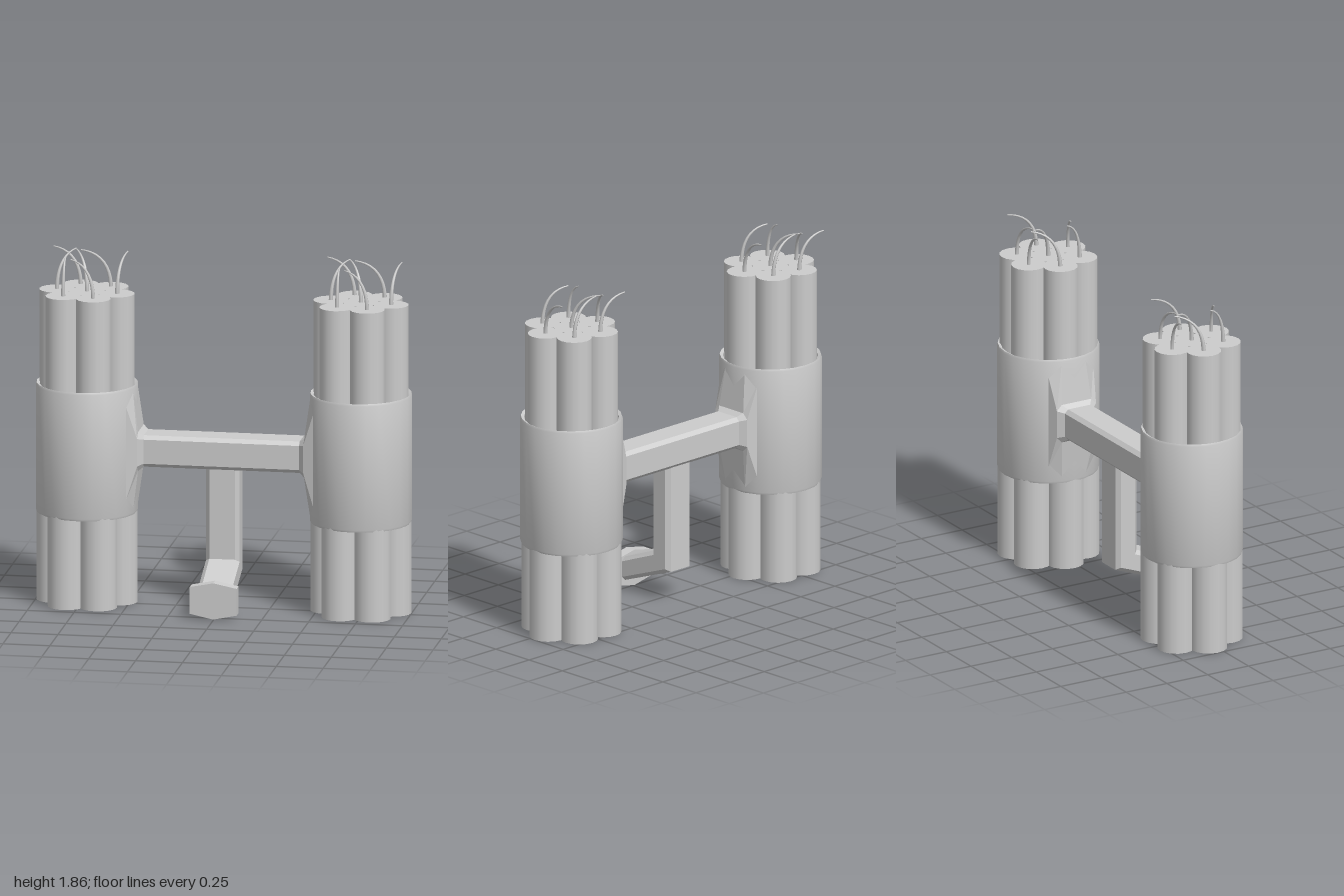
import * as THREE from 'three';
import { toCreasedNormals } from 'three/addons/utils/BufferGeometryUtils.js';

const V = (x, y, z) => new THREE.Vector3(x, y, z);
const material = new THREE.MeshStandardMaterial({ color: 0xcccccc });
const flat = new THREE.MeshStandardMaterial({ color: 0xcccccc, flatShading: true });

const CZ = -0.035;      // depth of the bundles and the bar
const BUNDLE_X = 0.73;
const SLEEVE_R = 0.27;

function add(parent, name, geometry, mat = material) {
  const mesh = new THREE.Mesh(geometry, mat);
  mesh.name = name;
  parent.add(mesh);
  return mesh;
}

// Chamfered rectangle outline, counterclockwise in (u, v)
function octagon(hu, hv, c) {
  return [[hu, -hv + c], [hu, hv - c], [hu - c, hv], [-hu + c, hv],
    [-hu, hv - c], [-hu, -hv + c], [-hu + c, -hv], [hu - c, -hv]];
}

// Skin a row of equal-length rings
function loft(rings) {
  const pos = [];
  const n = rings[0].length;
  for (let r = 0; r < rings.length - 1; r++) {
    for (let i = 0; i < n; i++) {
      const j = (i + 1) % n;
      const [a, b, c, d] = [rings[r][i], rings[r][j], rings[r + 1][j], rings[r + 1][i]];
      for (const p of [a, b, c, a, c, d]) pos.push(p.x, p.y, p.z);
    }
  }
  const g = new THREE.BufferGeometry();
  g.setAttribute('position', new THREE.Float32BufferAttribute(pos, 3));
  g.computeVertexNormals();
  return g;
}

// Thin fuse that rises, bends over and tapers to its tip
function fuseGeometry(x, z, dx, dz) {
  const curve = new THREE.CubicBezierCurve3(V(x, 1.66, z), V(x, 1.78, z),
    V(x + dx * 0.35, 1.85, z + dz * 0.35), V(x + dx, 1.86, z + dz));
  const segs = 10, sides = 6;
  const g = new THREE.TubeGeometry(curve, segs, 0.012, sides);
  const p = g.attributes.position;
  const v = V(0, 0, 0);
  for (let i = 0; i <= segs; i++) {
    const mid = curve.getPointAt(i / segs);
    for (let k = 0; k <= sides; k++) {
      const id = i * (sides + 1) + k;
      v.fromBufferAttribute(p, id).lerp(mid, 0.7 * i / segs);
      p.setXYZ(id, v.x, v.y, v.z);
    }
  }
  return g;
}

// Six positions round a circle plus the centre
function ringSpots(radius, startDeg) {
  const spots = [];
  for (let k = 0; k < 6; k++) {
    const a = THREE.MathUtils.degToRad(startDeg + 60 * k);
    spots.push([radius * Math.cos(a), radius * Math.sin(a)]);
  }
  spots.push([0, 0]);
  return spots;
}

function sticks(parent, name, spots, r, y0, y1) {
  for (const [x, z] of spots) {
    add(parent, name, new THREE.CylinderGeometry(r, r, y1 - y0, 16)).position.set(x, (y0 + y1) / 2, z);
  }
}

function createBundle() {
  const bundle = new THREE.Group();

  // Upper sticks are turned slightly against the lower ones
  const upper = ringSpots(0.167, 9);
  sticks(bundle, 'upperStick', upper, 0.093, 0.5, 1.67);
  sticks(bundle, 'lowerStick', ringSpots(0.17, 0), 0.099, 0, 0.52);

  // Wrapped sleeve with a thin open rim
  const profile = [[0.25, 0.495], [0.266, 0.488], [SLEEVE_R, 0.5], [SLEEVE_R, 1.17],
    [0.266, 1.182], [0.25, 1.175], [0.25, 0.495]].map(([x, y]) => new THREE.Vector2(x, y));
  add(bundle, 'sleeve', toCreasedNormals(new THREE.LatheGeometry(profile, 24), 0.5));

  // One fuse per stick, each leaning its own way
  const leans = [[0.03, -0.16], [-0.13, -0.06], [0, -0.08], [0.08, -0.13],
    [-0.15, -0.03], [-0.16, 0], [-0.08, -0.14]];
  upper.forEach(([x, z], i) => add(bundle, 'fuse', fuseGeometry(x, z, ...leans[i])));
  return bundle;
}

// Bar with a collar and a tall wedge spreading over each sleeve
function barGeometry() {
  const BAR_Y = 0.835;
  const half = [
    { hy: 0.34, hz: 0.14, c: 0.07 },
    { x: 0.443, hy: 0.105, hz: 0.12, c: 0.03 },
    { x: 0.415, hy: 0.085, hz: 0.088, c: 0.02 },
  ];
  const ring = ({ x, hy, hz, c }, side) => octagon(hy, hz, c).map(([y, z]) => {
    const px = x ?? BUNDLE_X - Math.sqrt(0.265 ** 2 - z * z);
    return V(side * px, BAR_Y + y, CZ + z);
  });
  return loft([...half.map(s => ring(s, -1)), ...half.slice().reverse().map(s => ring(s, 1))]);
}

// Post hanging from the bar and bending forward to the foot
function postGeometry() {
  const stations = [
    { y: 0.78, z: -0.04, vy: 0, vz: 1 },
    { y: 0.22, z: -0.04, vy: 0.68, vz: 1 },
    { y: 0.11, z: 0.25, vy: 1, vz: 0 },
  ];
  return loft(stations.map(({ y, z, vy, vz }) =>
    octagon(0.09, 0.065, 0.022).map(([u, v]) => V(u, y + v * vy, z + v * vz))));
}

export function createModel() {
  const model = new THREE.Group();
  model.name = 'twinBundles';

  for (const [name, x] of [['leftBundle', BUNDLE_X], ['rightBundle', -BUNDLE_X]]) {
    const bundle = createBundle();
    bundle.name = name;
    bundle.position.set(x, 0, CZ);
    model.add(bundle);
  }

  add(model, 'bar', barGeometry(), flat);
  add(model, 'post', postGeometry(), flat);

  // Six-sided foot plate
  const outline = new THREE.Shape([[-0.125, 0.03], [0, 0.004], [0.125, 0.03],
    [0.125, 0.175], [0, 0.2], [-0.125, 0.175]].map(([x, y]) => new THREE.Vector2(x, y)));
  const foot = new THREE.ExtrudeGeometry(outline, { depth: 0.06, bevelEnabled: false });
  add(model, 'footPlate', foot, flat).position.z = 0.24;

  return model;
}
